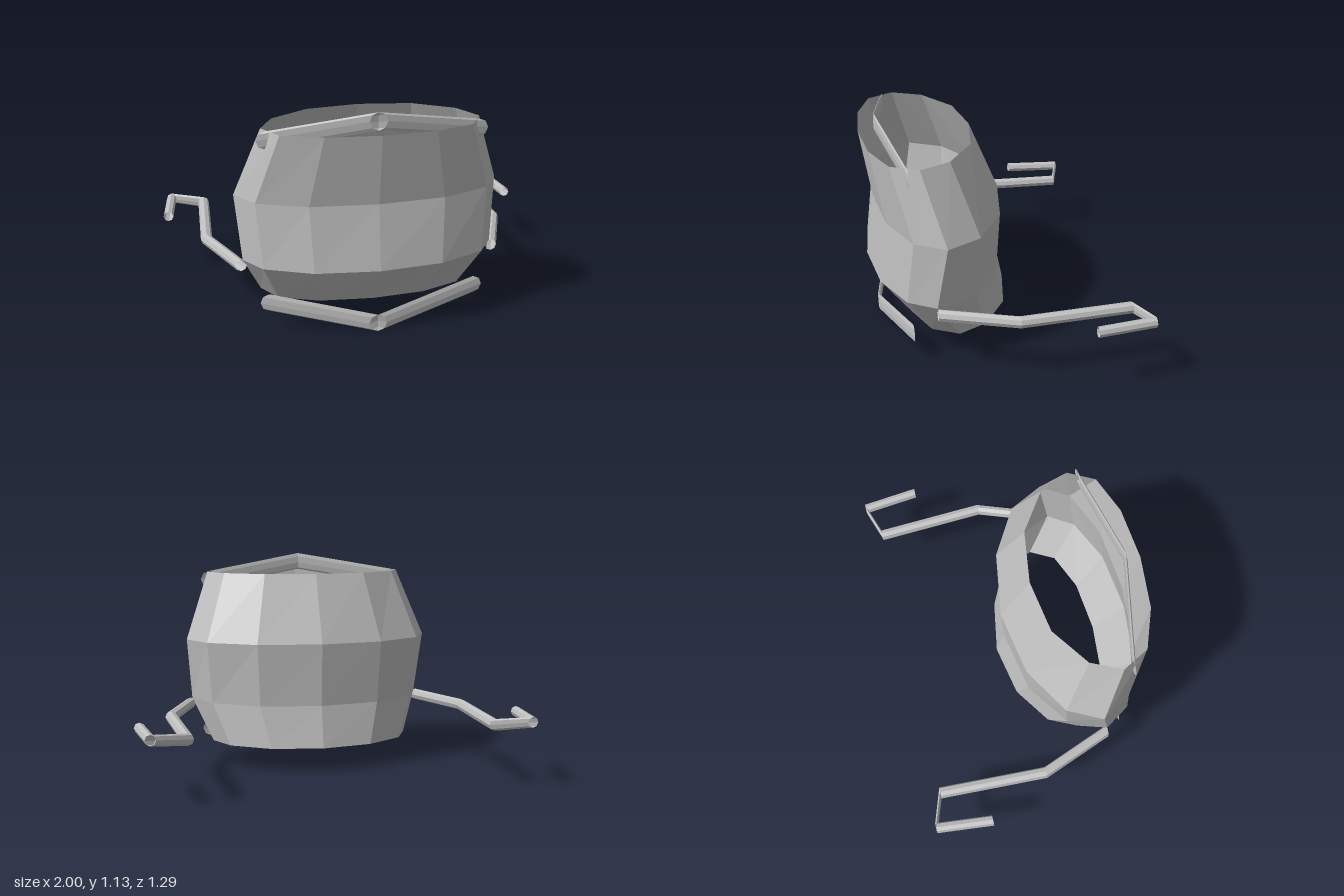
import * as THREE from 'three';

// Joins equal-length closed rings of points into an open-ended shell.
function loft(rings) {
  const n = rings[0].length;
  const index = [];
  for (let i = 0; i < rings.length - 1; i++) {
    for (let j = 0; j < n; j++) {
      const k = (j + 1) % n;
      const a = i * n + j, b = i * n + k, c = a + n, d = b + n;
      index.push(a, b, d, a, d, c);
    }
  }
  const geometry = new THREE.BufferGeometry();
  geometry.setAttribute('position', new THREE.Float32BufferAttribute(rings.flat(2), 3));
  geometry.setIndex(index);
  const flat = geometry.toNonIndexed();
  flat.computeVertexNormals();
  return flat;
}

// Tube whose cross-sections all stay upright in the xy plane.
function uprightTube(path, sides = 8) {
  return loft(path.map(([x, y, z, r]) =>
    Array.from({ length: sides }, (_, i) => {
      const a = (i / sides) * Math.PI * 2;
      return [x + r * Math.sin(a), y + r * Math.cos(a), z];
    })));
}

export function createModel() {
  const group = new THREE.Group();
  const grey = new THREE.MeshStandardMaterial({ color: 0xbfbfbf, side: THREE.DoubleSide, flatShading: true });
  grey.name = 'plain grey';

  const add = (name, geometry) => {
    const mesh = new THREE.Mesh(geometry, grey);
    mesh.name = name;
    group.add(mesh);
  };

  // Twelve-sided open shell: height, half width, then z from front to back
  const levels = [
    { y: 0.13, w: 0.54, z: [0.465, 0.44, 0.36, 0.23, 0.08, -0.05, -0.1] },
    { y: 0.35, w: 0.64, z: [0.63, 0.595, 0.49, 0.355, 0.155, 0.0, -0.055] },
    { y: 0.68, w: 0.67, z: [0.585, 0.555, 0.455, 0.305, 0.13, -0.015, -0.07] },
    { y: 1.04, w: 0.54, z: [0.645, 0.62, 0.545, 0.41, 0.255, 0.12, 0.08] },
  ];
  add('shell', loft(levels.map(({ y, w, z }) =>
    Array.from({ length: 12 }, (_, j) =>
      [w * Math.sin((j * Math.PI) / 6), y, z[j <= 6 ? j : 12 - j]]))));

  // Bent bars across the upper and lower front
  const bar = (endY, endZ, midY, midZ) => uprightTube([
    [-0.525, endY, endZ, 0.045], [0, midY, midZ, 0.045], [0.525, endY, endZ, 0.045],
  ]);
  add('upperBar', bar(0.995, 0.465, 1.085, 0.562));
  add('lowerBar', bar(0.155, 0.46, 0.047, 0.58));

  // Side arms that run backwards and end in hooks
  for (const [name, s] of [['leftArm', 1], ['rightArm', -1]]) {
    add(name, uprightTube([
      [s * 0.65, 0.32, 0.355, 0.03],
      [s * 0.79, 0.32, -0.02, 0.03],
      [s * 0.763, 0.32, -0.585, 0.03],
      [s * 0.94, 0.337, -0.645, 0.027],
      [s * 0.972, 0.337, -0.35, 0.027],
    ]));
  }
  return group;
}
